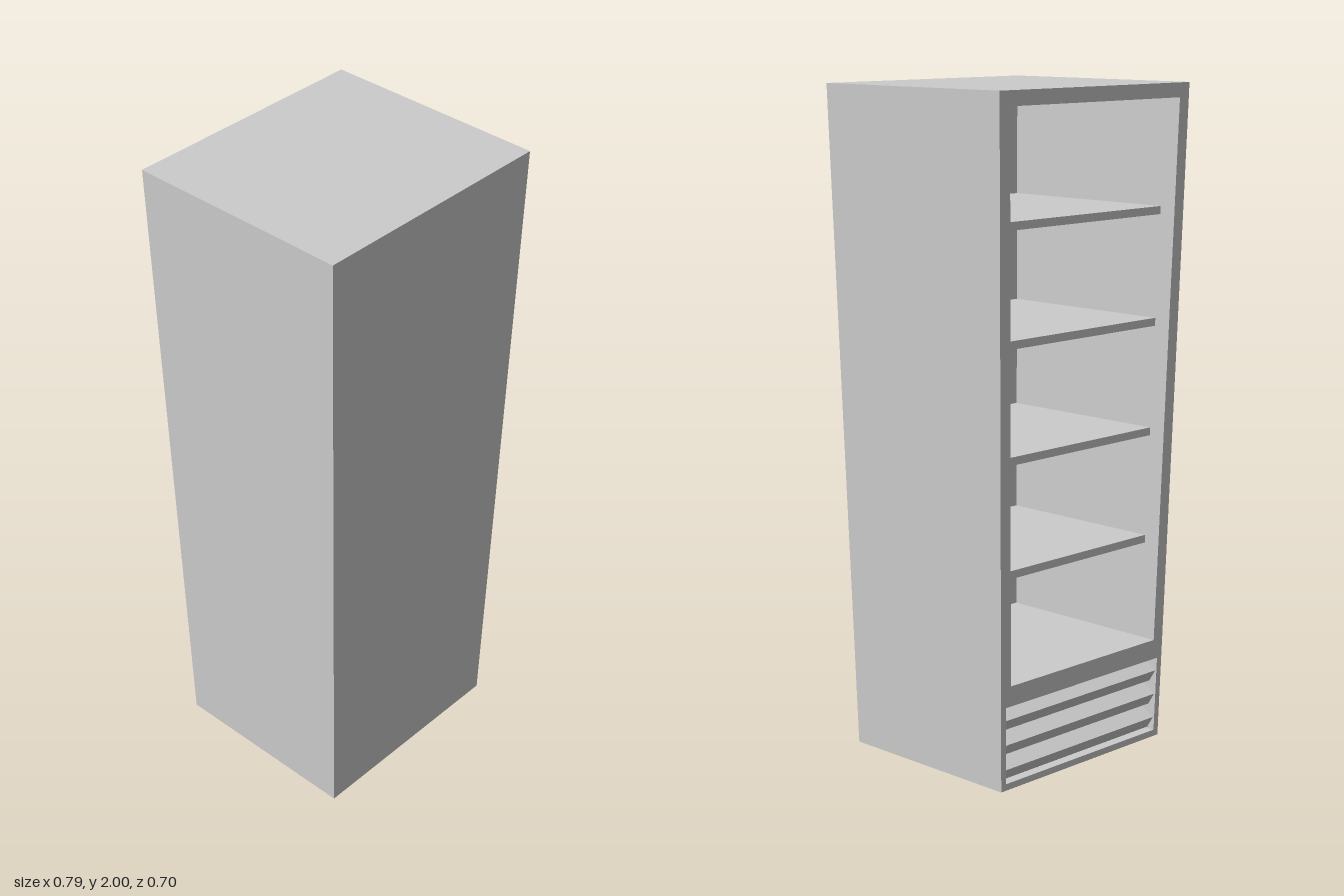
import * as THREE from 'three';

const W = 0.345, D = 0.306, H = 2;           // half width and half depth at the foot, height
const FLARE_X = 0.025, FLARE_Z = 0.0225;     // outward lean per unit of height
const WALL = 0.04, LIP = 0.02;
const FLOOR = 0.313, CEILING = 1.957, VENT_TOP = 0.252;

const material = new THREE.MeshStandardMaterial({ color: 0xcccccc, flatShading: true });

// Lean every vertex outwards with height, keeping wall thickness constant
function flare(geometry) {
  const p = geometry.attributes.position;
  for (let i = 0; i < p.count; i++) {
    const y = p.getY(i);
    p.setX(i, p.getX(i) + Math.sign(p.getX(i)) * FLARE_X * y);
    p.setZ(i, p.getZ(i) + Math.sign(p.getZ(i)) * FLARE_Z * y);
  }
  geometry.computeVertexNormals();
  return geometry;
}

export function createModel() {
  const model = new THREE.Group();

  const add = (name, geometry) => {
    const mesh = new THREE.Mesh(flare(geometry), material);
    mesh.name = name;
    model.add(mesh);
  };
  // Box given by its limits before leaning
  const panel = (name, x0, x1, y0, y1, z0, z1) => add(name,
    new THREE.BoxGeometry(x1 - x0, y1 - y0, z1 - z0)
      .translate((x0 + x1) / 2, (y0 + y1) / 2, (z0 + z1) / 2));

  // Outer shell, open at the back
  panel('topPanel', -W, W, CEILING, H, -D, D);
  panel('basePanel', -W, W, 0, LIP, -D, D);
  panel('frontPanel', -W, W, LIP, CEILING, D - WALL, D);
  for (const s of [-1, 1]) {
    const side = s < 0 ? 'right' : 'left';
    const span = (a, b) => (s < 0 ? [-b, -a] : [a, b]);
    panel(side + 'SidePanel', ...span(W - LIP, W), LIP, CEILING, -D, D - WALL);
    panel(side + 'Liner', ...span(W - WALL, W - LIP), FLOOR, CEILING, -D, D - WALL);
  }

  // Cabinet floor and the wall behind the vent
  panel('cabinetFloor', -W + LIP, W - LIP, VENT_TOP, FLOOR, -D, D - WALL);
  panel('ventBackWall', -W + LIP, W - LIP, LIP, VENT_TOP, -D + 0.1, -D + 0.12);

  // Shelves, set back from the opening
  for (let i = 0; i < 4; i++) {
    const y = 0.635 + i * 0.334;
    panel('shelf' + (i + 1), -W + WALL, W - WALL, y - 0.024, y, -0.252, D - WALL);
  }

  // Tilted vent slats
  for (let i = 0; i < 3; i++) {
    add('ventSlat' + (i + 1),
      new THREE.BoxGeometry(2 * (W - LIP), 0.042, 0.08)
        .rotateX(-Math.PI / 6)
        .translate(0, 0.062 + i * 0.075, -D + 0.05));
  }

  return model;
}
